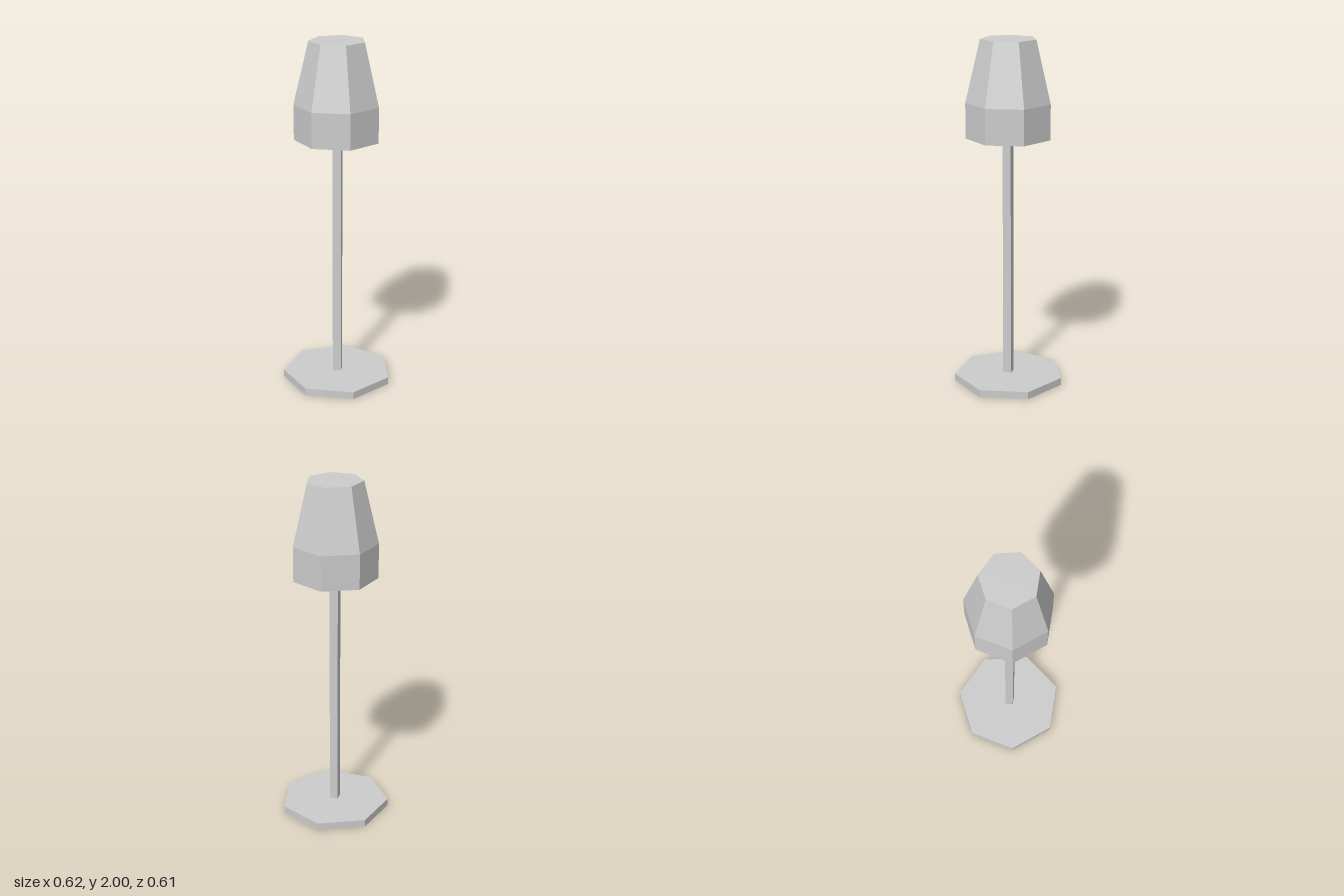
import * as THREE from 'three';

const SIDES = 7;
const CENTRE_Z = 0.015; // heptagons have one corner at the back

export function createModel() {
  const group = new THREE.Group();
  group.name = 'floorLamp';

  const grey = new THREE.MeshStandardMaterial({ color: 0xcccccc });
  grey.name = 'lightGrey';
  grey.flatShading = true;
  grey.side = THREE.DoubleSide;

  // Seven-sided solid turned from a [radius, height] profile
  function turned(name, profile) {
    const points = profile.map(([r, y]) => new THREE.Vector2(r, y));
    const mesh = new THREE.Mesh(new THREE.LatheGeometry(points, SIDES, Math.PI), grey);
    mesh.name = name;
    mesh.position.z = CENTRE_Z;
    group.add(mesh);
  }

  // Shallow base plate, open underneath
  turned('base', [[0.319, 0], [0.319, 0.043], [0, 0.043]]);

  // Hollow lampshade with a thick rim: inner wall up to down, then outer wall
  turned('lampshade', [
    [0, 1.98], [0.14, 1.98], [0.224, 1.65], [0.224, 1.45],
    [0.242, 1.45], [0.242, 1.65], [0.158, 2], [0, 2],
  ]);

  // Square pole from inside the base up into the shade
  const bottom = 0.01;
  const top = 1.98;
  const pole = new THREE.Mesh(new THREE.BoxGeometry(0.048, top - bottom, 0.048), grey);
  pole.name = 'pole';
  pole.position.set(0, (top + bottom) / 2, 0.02);
  group.add(pole);

  return group;
}
